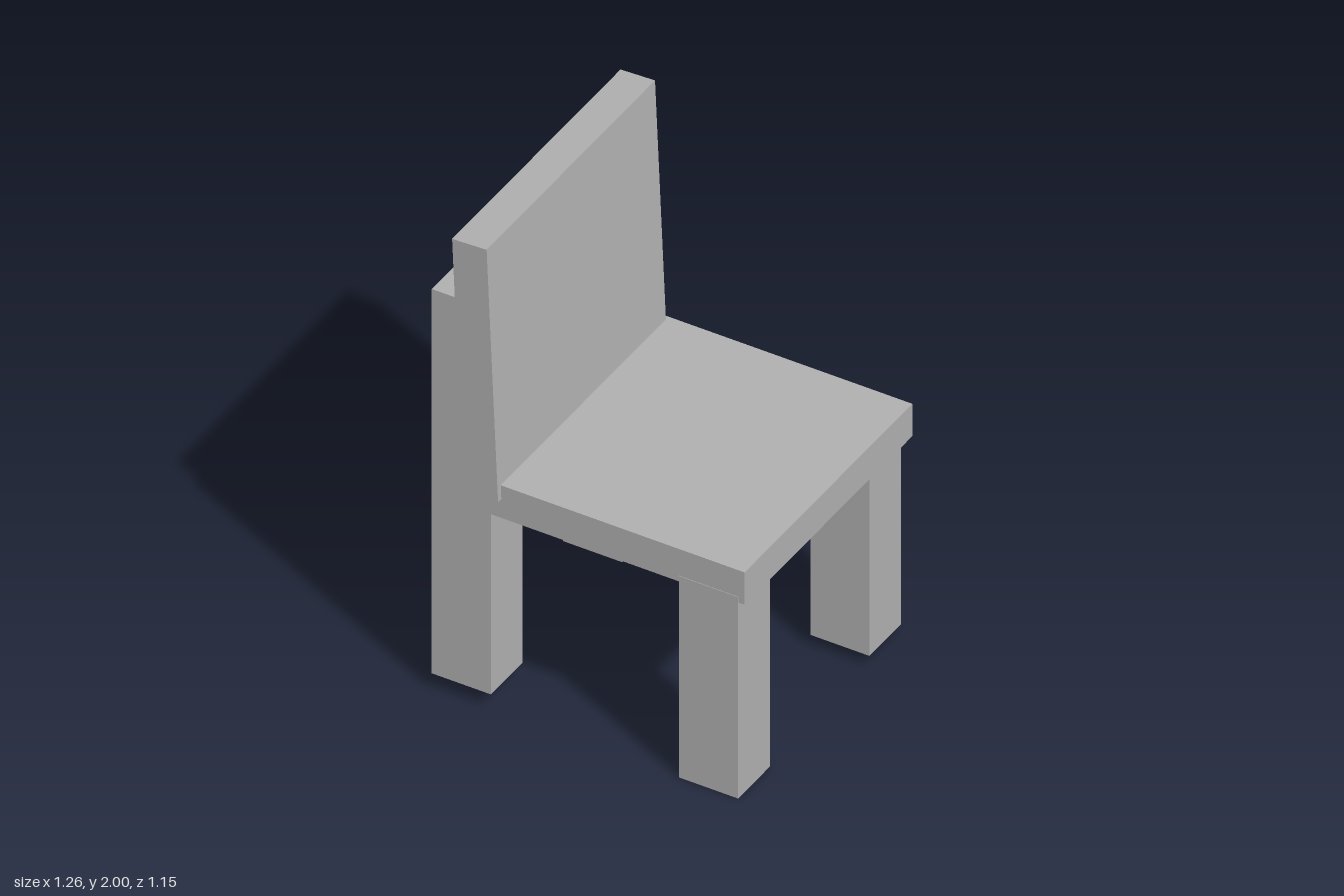
import * as THREE from 'three';

export function createModel() {
  const chair = new THREE.Group();
  chair.name = 'chair';
  const grey = new THREE.MeshStandardMaterial({ color: 0xb0b0b0 });
  grey.name = 'grey';

  // Box given by its lower and upper limits on each axis
  function addBox(name, [x0, x1], [y0, y1], [z0, z1], tilt = 0) {
    const mesh = new THREE.Mesh(new THREE.BoxGeometry(x1 - x0, y1 - y0, z1 - z0), grey);
    mesh.position.set((x0 + x1) / 2, (y0 + y1) / 2, (z0 + z1) / 2);
    mesh.rotation.z = tilt;
    mesh.name = name;
    chair.add(mesh);
  }

  // Seat slab
  addBox('seat', [-0.45, 0.628], [0.845, 0.985], [-0.577, 0.555]);

  // Backrest, leaning slightly away from the seat
  addBox('backrest', [-0.513, -0.374], [0.924, 1.997], [-0.56, 0.577], 0.043);

  // Front legs end at the seat, tall rear posts carry the backrest
  const sides = [
    { z: [0.343, 0.557], foot: 0 },
    { z: [-0.543, -0.33], foot: 0.045 },
  ];
  for (const { z, foot } of sides) {
    addBox('frontLeg', [0.365, 0.603], [foot, 0.87], z);
    addBox('rearPost', [-0.63, -0.392], [0.068, 1.728], z);
  }

  return chair;
}
